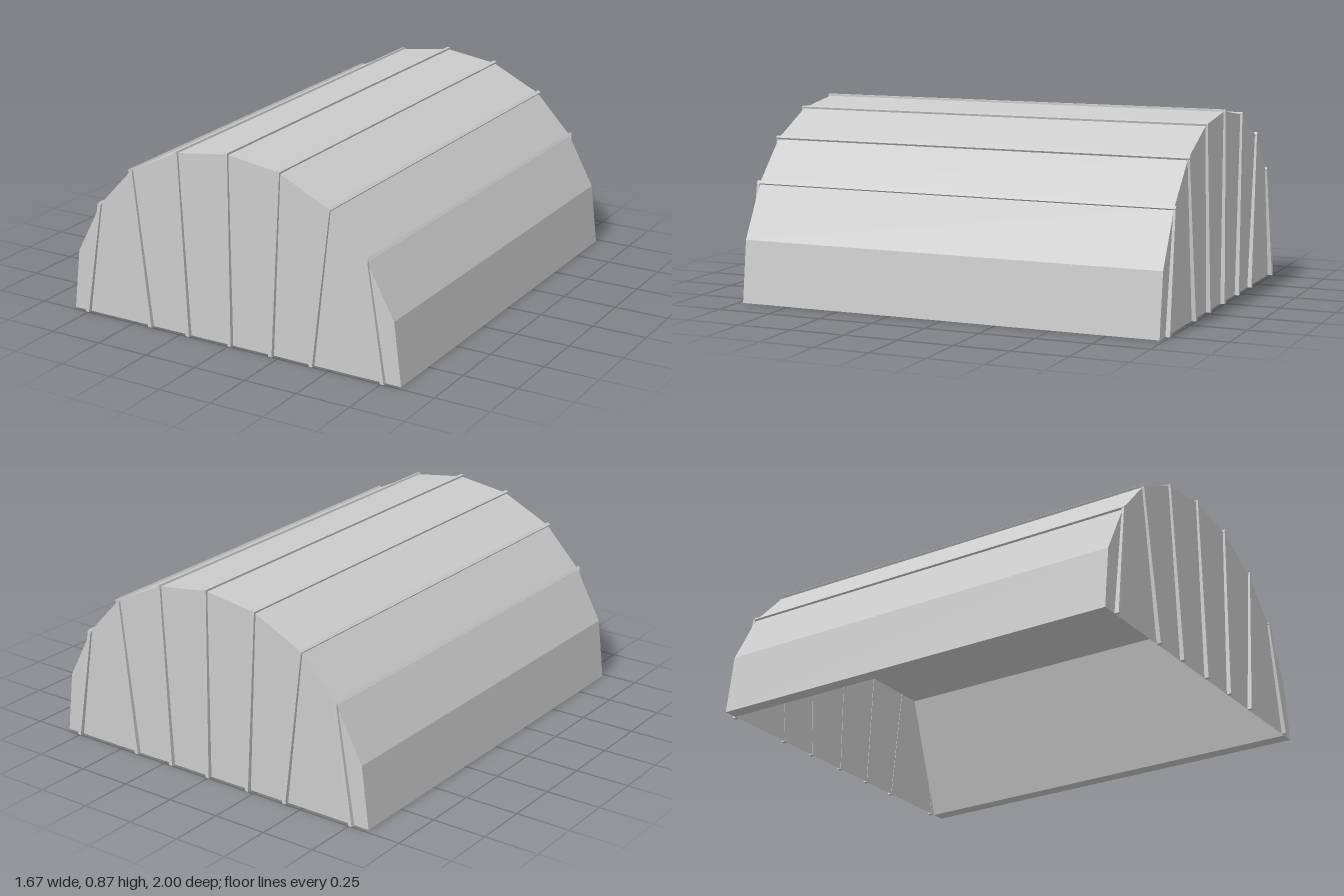
import * as THREE from 'three';

const END = 0.98; // half length of the shell
// Right-to-left half of the arch, from the ground to the ridge
const HALF = [[0.835, 0], [0.8, 0.28], [0.67, 0.52], [0.495, 0.705], [0.255, 0.822], [0, 0.858]];
// Trapezoid cavity under the shell
const CAVITY = [[0.77, 0], [0.58, 0.56], [-0.58, 0.56], [-0.77, 0]];
// Foot positions of the end ribs, matched to arch points 2..5
const FEET = [0.755, 0.412, 0.212, 0.005];

const makeShape = (pts) => new THREE.Shape(pts.map(([x, y]) => new THREE.Vector2(x, y)));

export function createModel() {
  const model = new THREE.Group();
  const grey = new THREE.MeshStandardMaterial({ color: 0xcccccc, flatShading: true });
  const thin = new THREE.MeshStandardMaterial({ color: 0xcccccc, flatShading: true, side: THREE.DoubleSide });
  const add = (name, geometry, material = grey) => {
    const mesh = new THREE.Mesh(geometry, material);
    mesh.name = name;
    model.add(mesh);
    return mesh;
  };

  // Faceted arched shell with the cavity cut out from below
  const mirrored = HALF.slice(0, -1).reverse().map(([x, y]) => [-x, y]);
  const profile = [...HALF, ...mirrored, ...CAVITY.slice().reverse()];
  const shell = new THREE.ExtrudeGeometry(makeShape(profile), { depth: END * 2, bevelEnabled: false });
  add('archedShell', shell.translate(0, 0, -END));

  // Thin walls closing the cavity at both ends
  for (const s of [-1, 1]) {
    add('endWall', new THREE.ShapeGeometry(makeShape(CAVITY)), thin).position.z = s * END;
  }

  // Tapered end rib leaning from its foot to the arch
  const endRib = (footX, topX, topY, s) => {
    const g = new THREE.BoxGeometry(0.017, 1, 0.02);
    const p = g.attributes.position;
    for (let i = 0; i < p.count; i++) {
      const top = p.getY(i) > 0;
      const outer = p.getZ(i) * s > 0;
      p.setXYZ(i, p.getX(i) + (top ? topX : footX), top ? topY + 0.004 : 0,
        s * (outer ? (top ? 0.99 : 1) : END - 0.002));
    }
    g.computeVertexNormals();
    add('endRib', g);
  };

  // Long ribs over the arch corners, each continued down both ends
  for (let i = 2; i < HALF.length; i++) {
    const [x, y] = HALF[i];
    for (const side of x === 0 ? [1] : [-1, 1]) {
      const rib = add('roofRib', new THREE.BoxGeometry(0.016, 0.016, 1.98));
      rib.position.set(side * x, y, 0);
      rib.rotation.z = -side * Math.atan2(x, y);
      for (const s of [-1, 1]) endRib(side * FEET[i - 2], side * x, y, s);
    }
  }
  return model;
}
